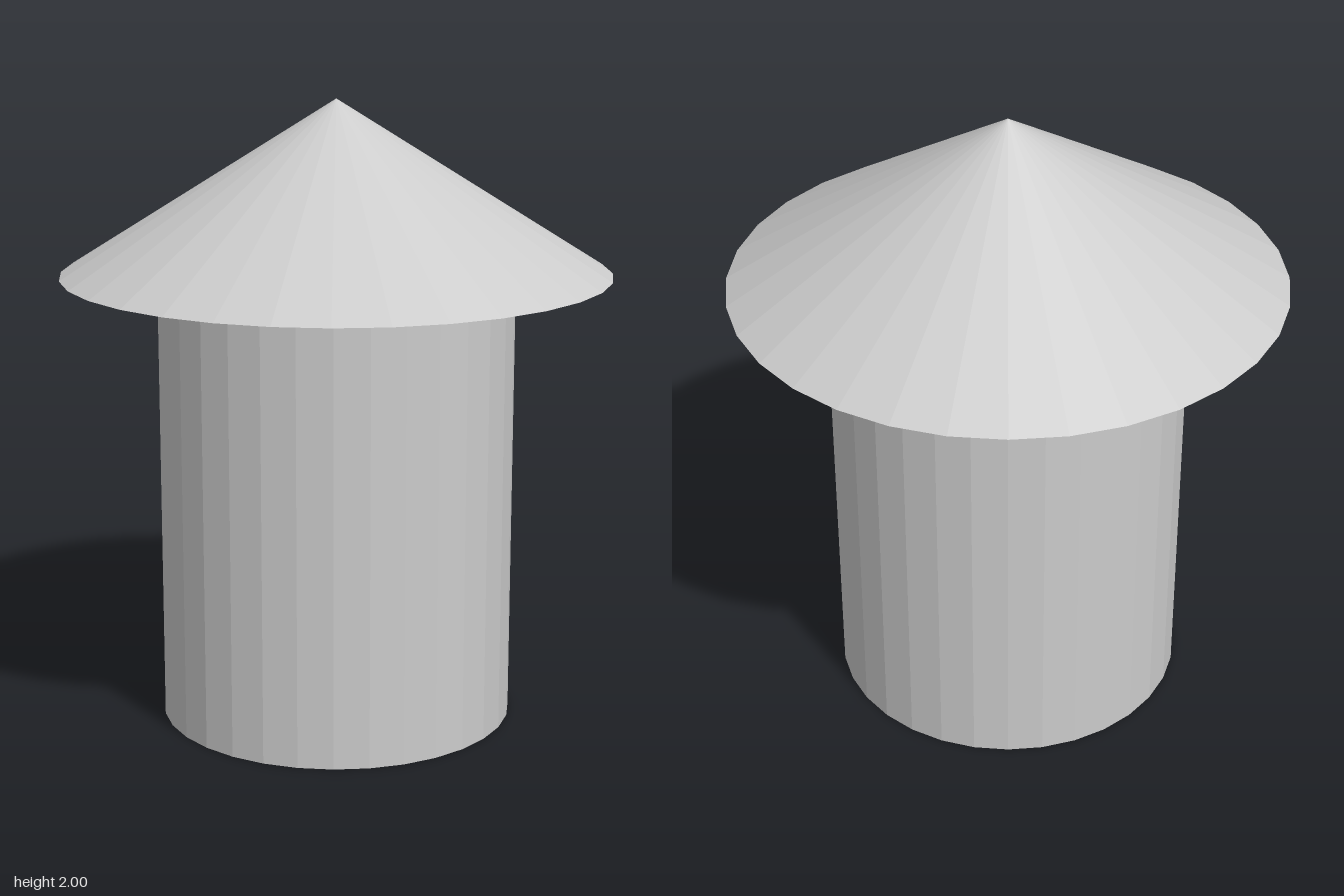
import * as THREE from 'three';

const SIDES = 32;
const WALL_HEIGHT = 1.45;
const TOTAL_HEIGHT = 2;

export function createModel() {
  const group = new THREE.Group();
  group.name = 'roundHut';
  const material = new THREE.MeshStandardMaterial({ color: 0xcccccc, flatShading: true });

  // Round wall, closed at both ends
  const wall = new THREE.Mesh(new THREE.CylinderGeometry(0.57, 0.57, WALL_HEIGHT, SIDES), material);
  wall.name = 'wall';
  wall.position.y = WALL_HEIGHT / 2;

  // Overhanging conical roof with a flat underside
  const roofHeight = TOTAL_HEIGHT - WALL_HEIGHT;
  const roof = new THREE.Mesh(new THREE.ConeGeometry(0.876, roofHeight, SIDES), material);
  roof.name = 'roof';
  roof.position.y = WALL_HEIGHT + roofHeight / 2;

  group.add(wall, roof);
  return group;
}
